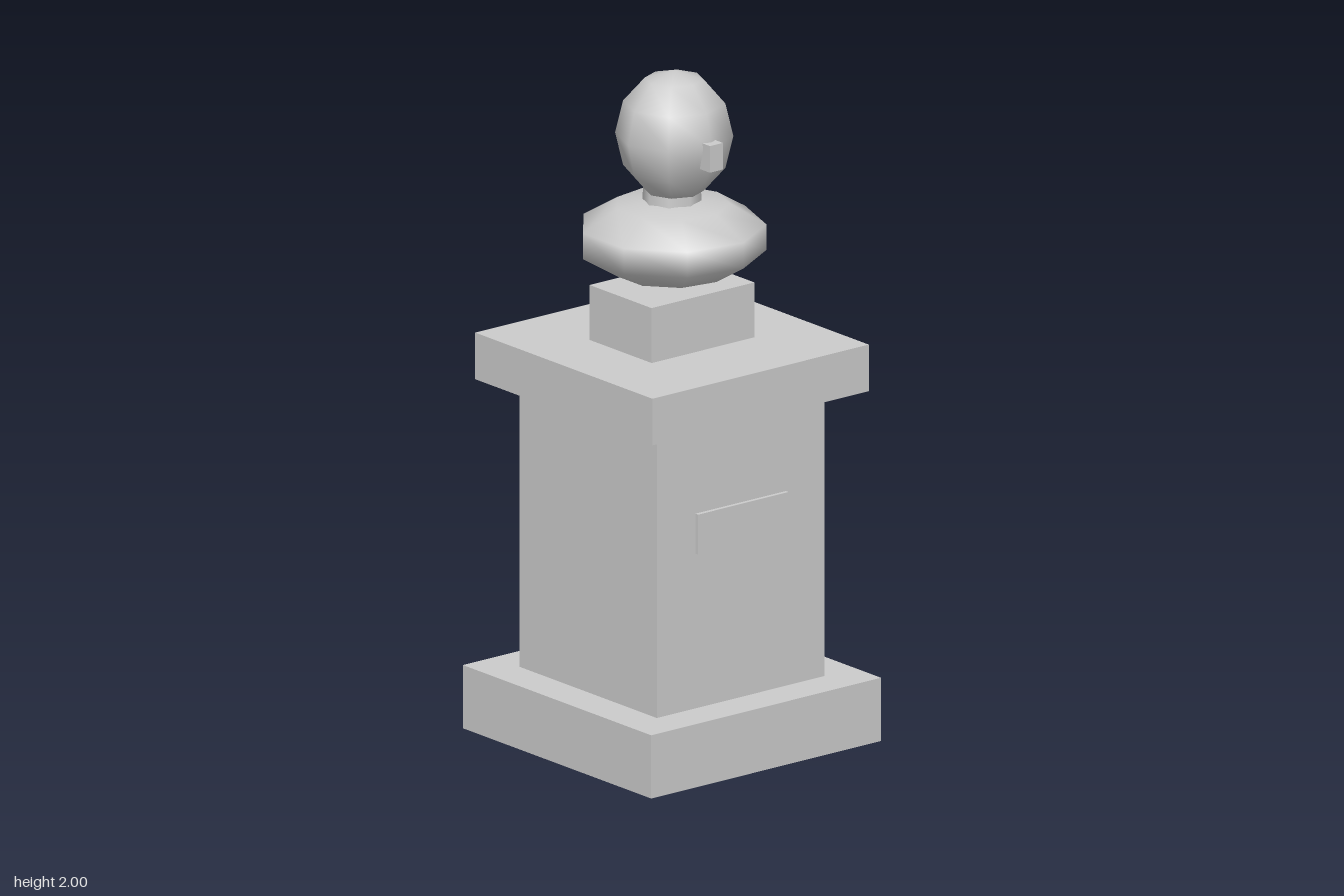
import * as THREE from 'three';

export function createModel() {
  const group = new THREE.Group();
  const material = new THREE.MeshStandardMaterial({ color: 0xcccccc });

  const add = (name, geometry, x, y, z) => {
    const mesh = new THREE.Mesh(geometry, material);
    mesh.name = name;
    mesh.position.set(x, y, z);
    group.add(mesh);
    return mesh;
  };
  // Box given by its width, depth, bottom and top
  const block = (name, w, d, y0, y1, z = 0) =>
    add(name, new THREE.BoxGeometry(w, y1 - y0, d), 0, (y0 + y1) / 2, z);

  // Pedestal
  block('base', 0.85, 0.85, 0, 0.19);
  block('shaft', 0.62, 0.62, 0.19, 1.05);
  block('cap', 0.8, 0.8, 1.05, 1.19);
  block('plaque', 0.335, 0.02, 0.655, 0.775, 0.312);
  block('bustStand', 0.38, 0.28, 1.19, 1.355);

  // Shoulders: flattened coarse sphere with one corner towards +x
  const shoulders = add('shoulders', new THREE.SphereGeometry(1, 9, 5), 0, 1.496, 0);
  shoulders.scale.set(0.284, 0.125, 0.284);
  shoulders.rotation.y = Math.PI;

  add('neck', new THREE.CylinderGeometry(0.08, 0.088, 0.14, 8), 0, 1.63, 0);

  // Head: slightly stretched coarse sphere
  const head = add('head', new THREE.SphereGeometry(1, 8, 6), 0, 1.807, 0.01);
  head.scale.set(0.17, 0.193, 0.17);

  block('nose', 0.048, 0.06, 1.743, 1.823, 0.17);

  return group;
}
